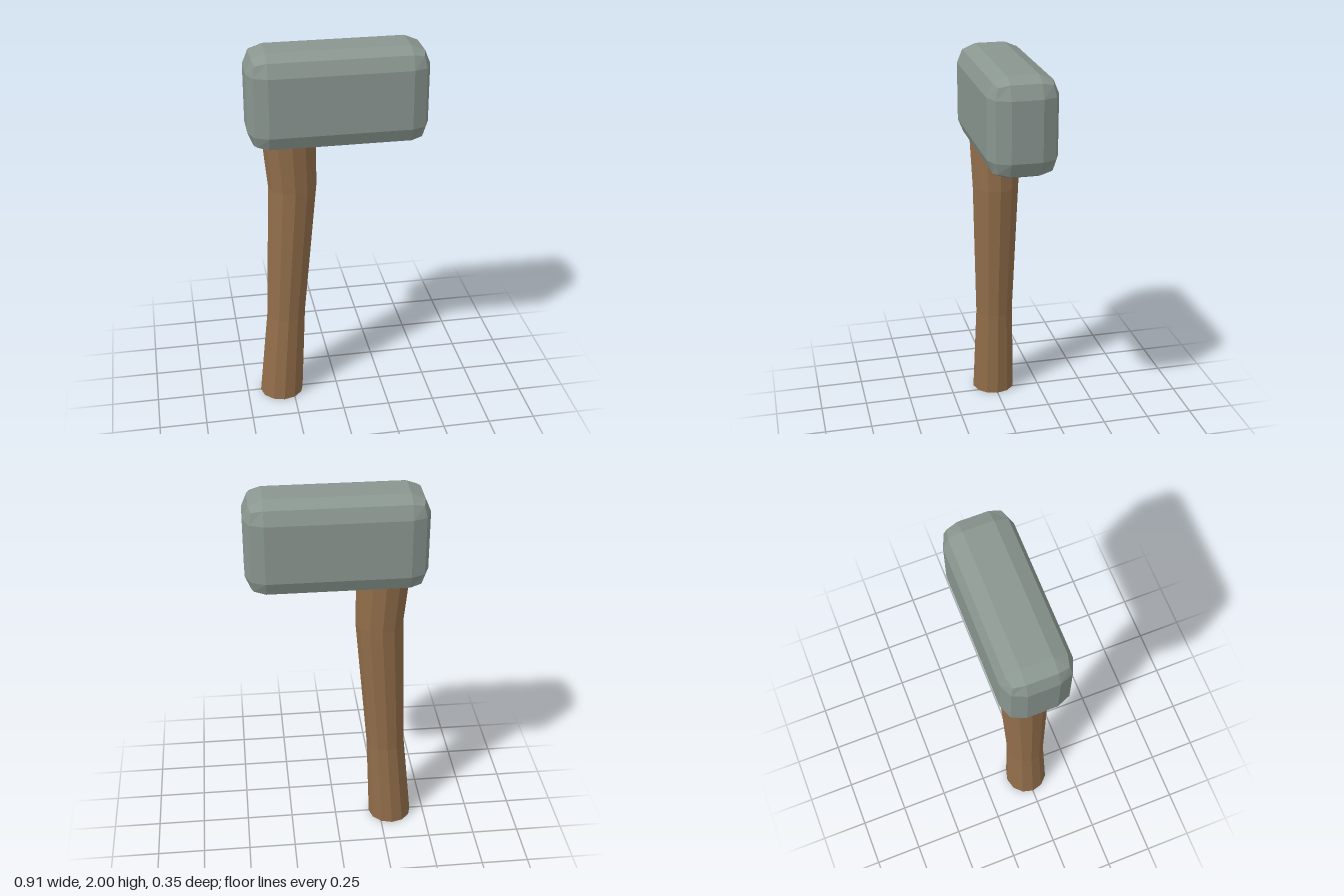
import * as THREE from 'three';
import { RoundedBoxGeometry } from 'three/addons/geometries/RoundedBoxGeometry.js';

// Handle cross-sections from the butt upward: height, centre x, radius
const SECTIONS = [
  { y: 0, x: -0.31, r: 0.118 },
  { y: 0.5, x: -0.275, r: 0.103 },
  { y: 1.26, x: -0.227, r: 0.125 },
  { y: 1.6, x: -0.245, r: 0.14 },
];

function material(name, color) {
  const m = new THREE.MeshStandardMaterial({ color, flatShading: true });
  m.name = name;
  return m;
}

// A faceted cylinder whose rings are moved onto the curved handle sections
function handleGeometry() {
  const steps = SECTIONS.length - 1;
  const geometry = new THREE.CylinderGeometry(1, 1, steps, 12, steps);
  const p = geometry.attributes.position;
  for (let i = 0; i < p.count; i++) {
    const s = SECTIONS[Math.round(p.getY(i) + steps / 2)];
    p.setXYZ(i, s.x + p.getX(i) * s.r, s.y, p.getZ(i) * s.r);
  }
  geometry.computeVertexNormals();
  return geometry;
}

export function createModel() {
  const model = new THREE.Group();
  model.name = 'hammer';

  // Stone head: block with a two-step bevel on every edge
  const head = new THREE.Mesh(
    new RoundedBoxGeometry(0.906, 0.5, 0.35, 1, 0.098),
    material('stone', 0x8a9690),
  );
  head.name = 'head';
  head.position.y = 1.75;

  // Wooden handle, its top sunk into the head
  const handle = new THREE.Mesh(handleGeometry(), material('wood', 0x926e4a));
  handle.name = 'handle';

  model.add(head, handle);
  return model;
}
